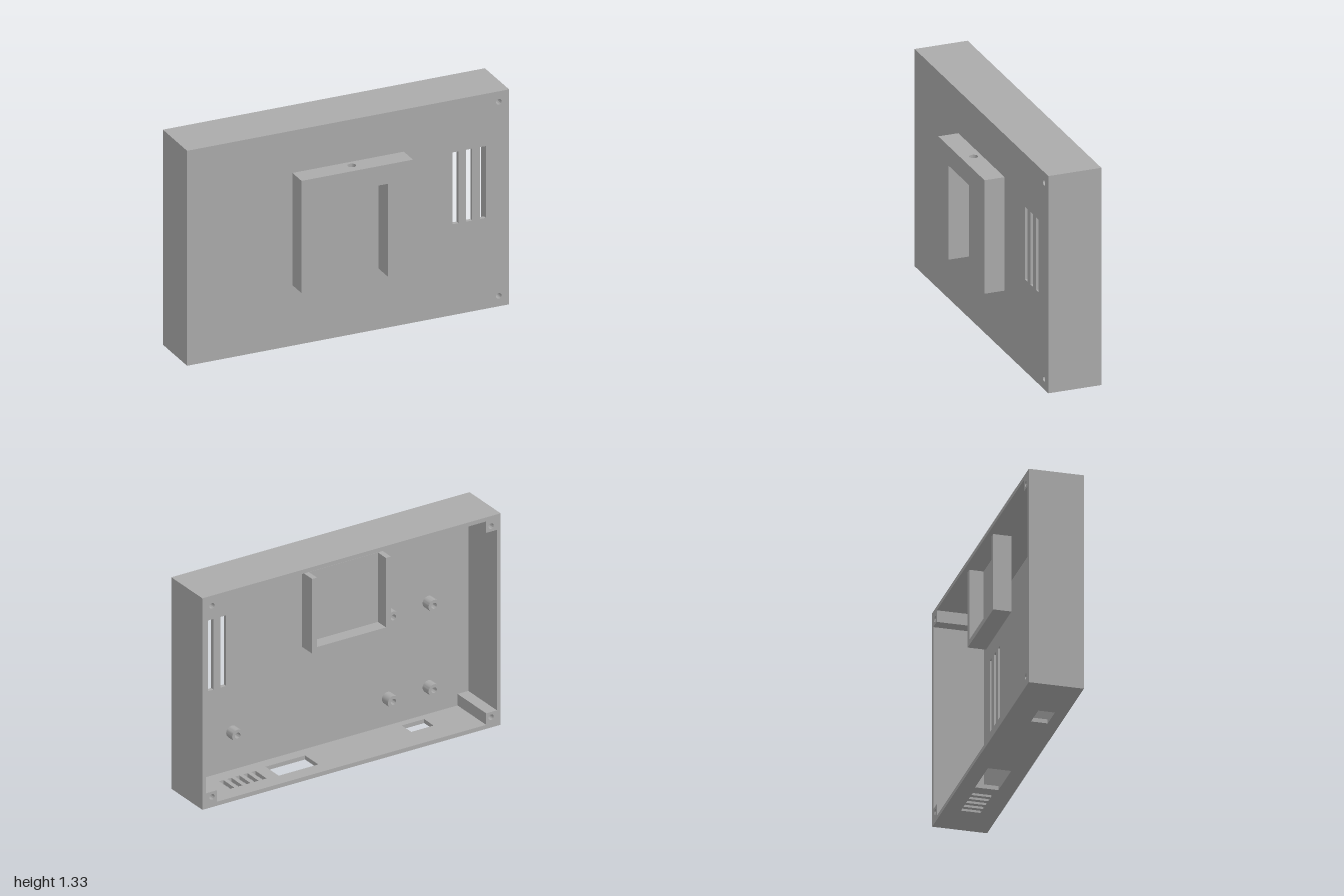
import * as THREE from 'three';
import { toCreasedNormals } from 'three/addons/utils/BufferGeometryUtils.js';

const H = 1.325, BACK = -0.222, FRONT = 0.1, T = 0.025;
const PLATE = FRONT - T; // inner face of the front plate

export function createModel() {
  const group = new THREE.Group();
  group.name = 'wallMountEnclosure';
  const grey = new THREE.MeshStandardMaterial({ color: 0xaaaaaa });
  grey.name = 'grey plastic';

  const rect = (x0, y0, x1, y1, Type = THREE.Path) => {
    const p = new Type();
    p.moveTo(x0, y0);
    p.lineTo(x1, y0);
    p.lineTo(x1, y1);
    p.lineTo(x0, y1);
    p.closePath();
    return p;
  };
  const circle = (x, y, r, Type = THREE.Path) => {
    const p = new Type();
    p.absarc(x, y, r, 0, Math.PI * 2, false);
    return p;
  };
  const add = (name, geometry) => {
    const mesh = new THREE.Mesh(geometry, grey);
    mesh.name = name;
    group.add(mesh);
    return mesh;
  };
  const extrude = (outline, holes, depth) => {
    outline.holes.push(...holes);
    const geo = new THREE.ExtrudeGeometry(outline, { depth, bevelEnabled: false, curveSegments: 16 });
    return toCreasedNormals(geo, 0.6);
  };
  // Slab drawn in x/y, running from z0 to z1
  const slabZ = (name, outline, holes, z0, z1) =>
    add(name, extrude(outline, holes, z1 - z0).translate(0, 0, z0));
  // Slab drawn in x/z, running from y0 to y1
  const slabY = (name, outline, holes, y0, y1) =>
    add(name, extrude(outline, holes, y1 - y0).rotateX(Math.PI / 2).translate(0, y1, 0));
  const box = (name, x0, x1, y0, y1, z0, z1) =>
    add(name, new THREE.BoxGeometry(x1 - x0, y1 - y0, z1 - z0)
      .translate((x0 + x1) / 2, (y0 + y1) / 2, (z0 + z1) / 2));

  // Front plate with vent slots and two screw holes
  const screwX = 0.936, screwYs = [0.064, H - 0.064], screwR = 0.017;
  const plateHoles = screwYs.map((y) => circle(screwX, y, screwR));
  for (let i = 0; i < 3; i++) {
    const x = 0.648 + i * 0.085;
    plateHoles.push(rect(x, 0.56, x + 0.038, 1.003));
  }
  slabZ('frontPlate', rect(-1, 0, 1, H, THREE.Shape), plateHoles, PLATE, FRONT);

  // Bottom wall with connector openings and a row of vents
  const ports = [rect(0.165, -0.132, 0.43, 0.004), rect(-0.65, -0.068, -0.5, 0.03)];
  for (let i = 0; i < 5; i++) {
    const x = 0.75 - i * 0.054;
    ports.push(rect(x - 0.028, -0.124, x, -0.009));
  }
  slabY('bottomWall', rect(-1, BACK, 1, PLATE, THREE.Shape), ports, 0, T);

  // Remaining walls
  box('topWall', -1, 1, H - T, H, BACK, PLATE);
  box('leftWall', 1 - T, 1, T, H - T, BACK, PLATE);
  box('rightWall', -1, -1 + T, T, H - T, BACK, PLATE);

  // Corner screw posts
  const post = 0.072;
  for (const side of [-1, 1]) {
    for (const y of screwYs) {
      const x0 = side > 0 ? 1 - T - post : -1 + T;
      const y0 = y > 0.5 ? H - T - post : T;
      slabZ('cornerPost', rect(x0, y0, x0 + post, y0 + post, THREE.Shape),
        [circle(side * screwX, y, screwR)], BACK, PLATE);
    }
  }

  // Board standoffs
  for (const [x, y] of [[-0.433, 0.727], [-0.706, 0.727], [-0.433, 0.198], [-0.706, 0.198], [0.611, 0.265]]) {
    slabZ('standoff', circle(x, y, 0.037, THREE.Shape), [circle(x, y, 0.018)], 0.013, PLATE);
  }

  // Open-topped tray behind the plate
  const trayX = 0.264, trayW = 0.033, trayFront = -0.115, trayFloor = -0.138;
  box('trayFloor', -trayX, trayX, 0.782, 1.25, trayFloor, trayFront);
  box('trayBottom', -trayX, trayX, 0.782, 0.782 + trayW, BACK, trayFloor);
  for (const s of [-1, 1]) {
    const x = s * (trayX - trayW / 2);
    box('traySide', x - trayW / 2, x + trayW / 2, 0.782 + trayW, 1.25, BACK, trayFloor);
  }

  // Arch-shaped bracket on the front, with a hole through its top bar
  const bx = 0.346, inner = 0.19, barY = 0.946, proud = 0.222;
  slabY('bracketBar', rect(-bx, FRONT, bx, proud, THREE.Shape), [circle(0, 0.148, 0.025)], barY, 1.065);
  box('bracketLeftLeg', inner, bx, 0.373, barY, FRONT, proud);
  box('bracketRightLeg', -bx, -inner, 0.373, barY, FRONT, proud);

  return group;
}
